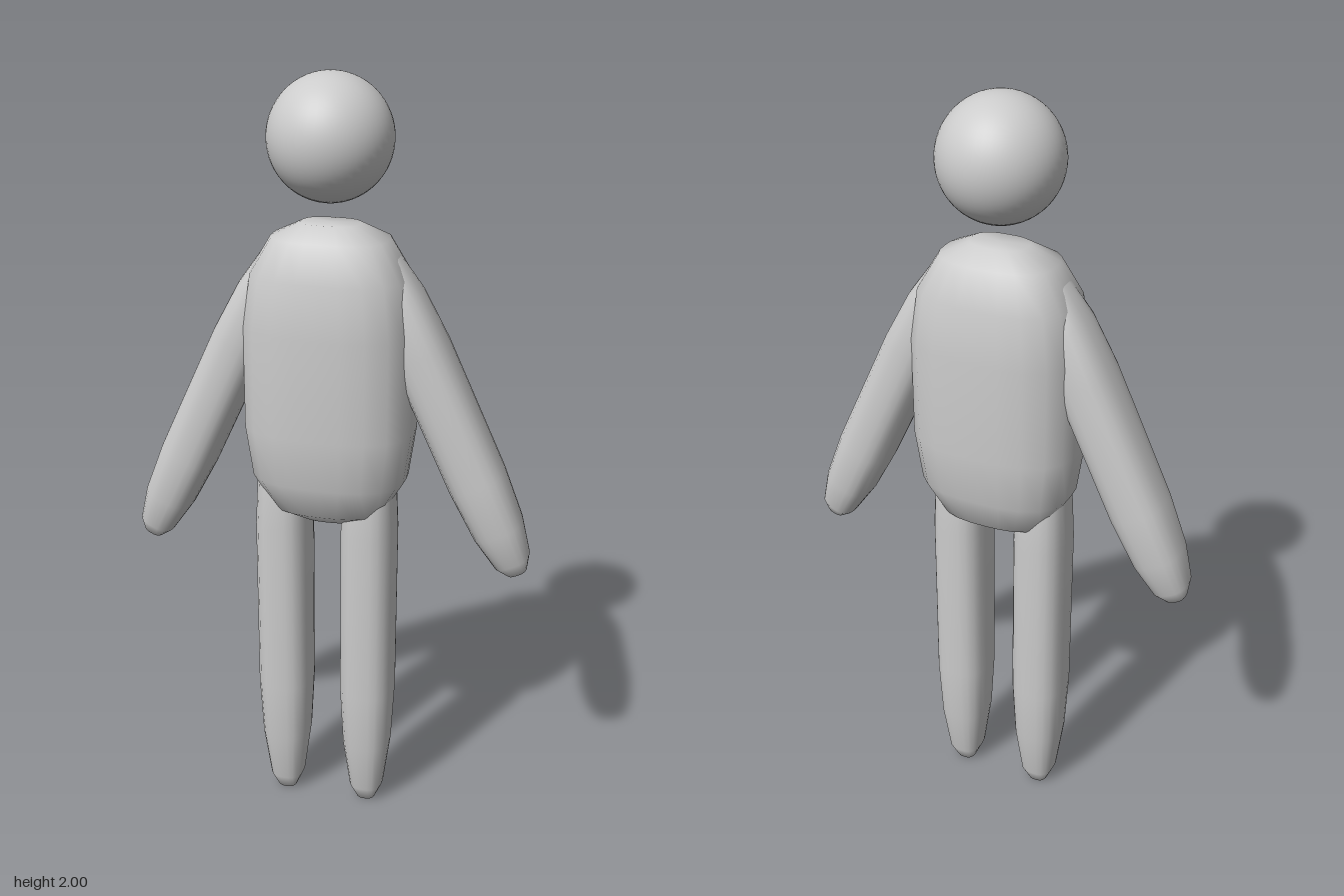
import * as THREE from 'three';
import { mergeVertices } from 'three/addons/utils/BufferGeometryUtils.js';

const material = new THREE.MeshStandardMaterial({ color: 0xcccccc });

// Soft pillow-like solid: profile of [width fraction, height], squared-off round section
function softBody(profile, halfX, halfZ, power = 2.8) {
  const points = profile.map(([r, y]) => new THREE.Vector2(r, y));
  const geo = new THREE.LatheGeometry(points, 24);
  const pos = geo.attributes.position;
  for (let i = 0; i < pos.count; i++) {
    const x = pos.getX(i), z = pos.getZ(i), r = Math.hypot(x, z);
    if (r < 1e-6) continue;
    const c = Math.abs(x / r), s = Math.abs(z / r);
    const k = 1 / Math.pow(c ** power + s ** power, 1 / power);
    pos.setXYZ(i, x * k * halfX, pos.getY(i), z * k * halfZ);
  }
  geo.deleteAttribute('uv');
  geo.deleteAttribute('normal');
  const merged = mergeVertices(geo, 1e-5);
  merged.computeVertexNormals();
  return merged;
}

// Half profile mirrored about mid-height, base at y = 0
function mirrored(half, height) {
  return [...half, ...half.map(([r, y]) => [r, height - y]).reverse()];
}

export function createModel() {
  const group = new THREE.Group();
  const add = (name, geo, x, y, z) => {
    const mesh = new THREE.Mesh(geo, material);
    mesh.name = name;
    mesh.position.set(x, y, z);
    group.add(mesh);
    return mesh;
  };

  // Head floats just above the torso
  add('head', new THREE.SphereGeometry(0.153, 48, 32), 0, 1.847, 0);

  // Torso
  const torsoHalf = [[0, 0], [0.33, 0], [0.66, 0.035], [0.9, 0.125], [0.985, 0.26]];
  add('torso', softBody(mirrored(torsoHalf, 0.78), 0.222, 0.149), 0, 0.865, -0.004);

  // Limbs share one rounded taper
  const limbHalf = [[0, 0], [0.34, 0], [0.6, 0.045], [0.85, 0.19], [0.96, 0.36]];
  const legGeo = softBody(mirrored(limbHalf, 1.2), 0.075, 0.086);
  const armHalf = [[0, 0], [0.34, 0], [0.62, 0.035], [0.86, 0.13], [0.97, 0.27]];
  const armGeo = softBody(mirrored(armHalf, 0.9), 0.075, 0.086);

  for (const [side, s] of [['left', 1], ['right', -1]]) {
    add(side + 'Leg', legGeo, s * 0.115 - 0.01, 0, -0.004);
    // Arm origin is the hand end, leaning in towards the shoulder
    add(side + 'Arm', armGeo, s * 0.497, 0.763, -0.004).rotation.z = s * 0.436;
  }
  return group;
}
